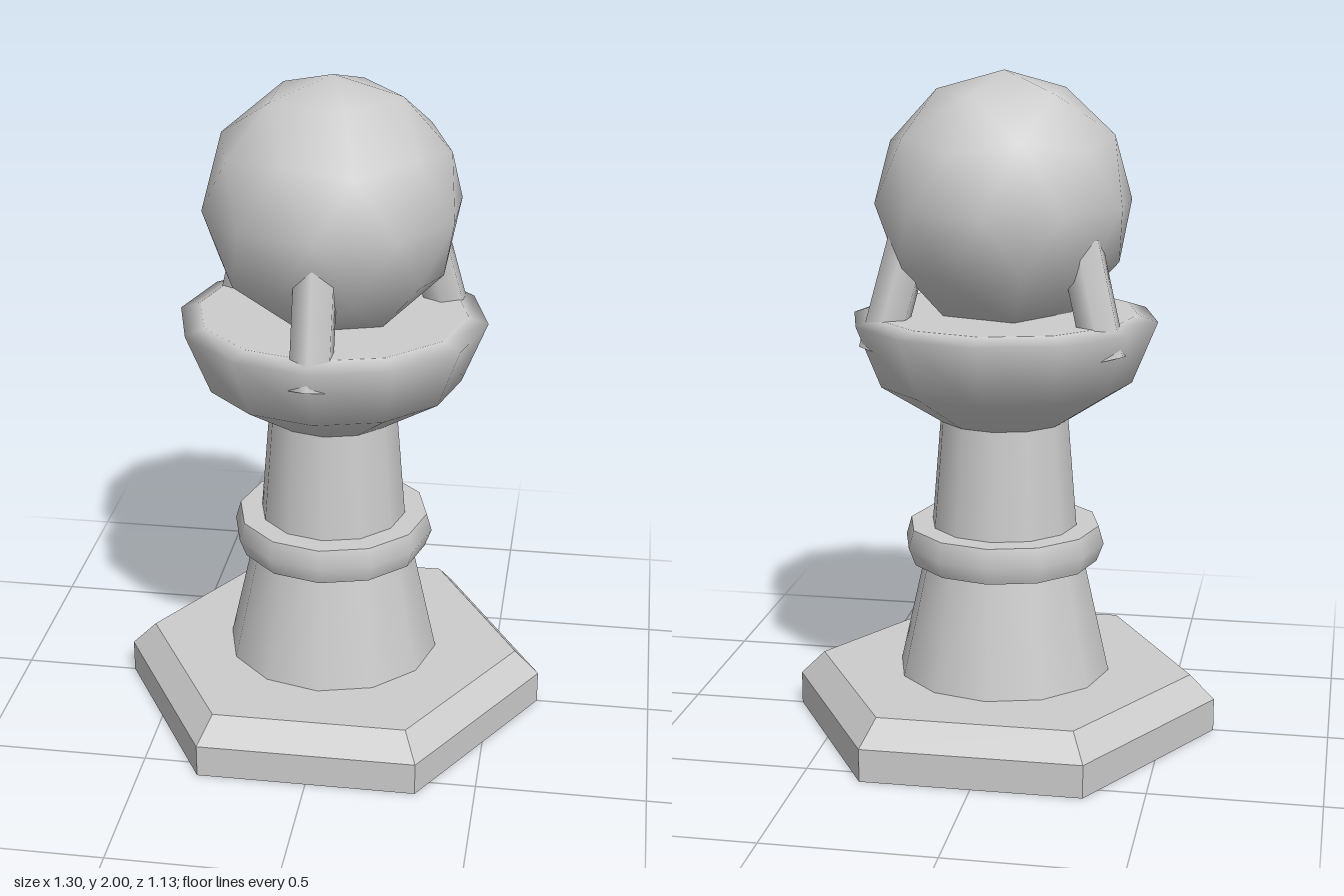
import * as THREE from 'three';

export function createModel() {
  const model = new THREE.Group();
  const stone = new THREE.MeshStandardMaterial({ color: 0xcccccc });
  stone.name = 'grey stone';

  const add = (name, geometry, y = 0, parent = model) => {
    const mesh = new THREE.Mesh(geometry, stone);
    mesh.name = name;
    mesh.position.y = y;
    parent.add(mesh);
    return mesh;
  };
  // Cylinder section between two heights
  const section = (name, rBottom, rTop, y0, y1, sides = 12, open = true) =>
    add(name, new THREE.CylinderGeometry(rTop, rBottom, y1 - y0, sides, 1, open), (y0 + y1) / 2);
  // Smooth 12-sided turned surface
  const turned = (name, profile) =>
    add(name, new THREE.LatheGeometry(profile.map(p => new THREE.Vector2(...p)), 12));
  // Flat 12-sided disc facing up (1) or down (-1)
  const disc = (name, radius, y, facing) => {
    add(name, new THREE.CircleGeometry(radius, 12).rotateX(-facing * Math.PI / 2), y);
  };
  // Separate normals for every face
  const faceted = geometry => {
    const g = geometry.toNonIndexed();
    g.computeVertexNormals();
    return g;
  };

  // Chamfered hexagonal base, with corners on the x axis
  const hexagon = (rTop, rBottom, h, open) => faceted(
    new THREE.CylinderGeometry(rTop, rBottom, h, 6, 1, open, Math.PI / 6));
  add('basePlinth', hexagon(0.652, 0.652, 0.1, false), 0.05);
  add('baseChamfer', hexagon(0.577, 0.652, 0.075, false), 0.1375);

  // Tapered column and its collar
  section('lowerColumn', 0.325, 0.234, 0.175, 0.58);
  section('upperColumn', 0.227, 0.195, 0.58, 0.965);
  turned('collar', [[0.285, 0.525], [0.306, 0.58], [0.29, 0.635]]);
  disc('collarTop', 0.29, 0.635, 1);
  disc('collarUnderside', 0.285, 0.525, -1);

  // Bowl with a rolled rim and flat top
  turned('bowl', [[0.19, 0.96], [0.385, 1.085], [0.46, 1.27], [0.4, 1.29]]);
  disc('bowlTop', 0.4, 1.29, 1);
  disc('bowlUnderside', 0.19, 0.96, -1);

  // Faceted ball with smooth normals, one vertex pointing straight up
  const ball = new THREE.IcosahedronGeometry(0.383, 1);
  ball.rotateZ(-Math.atan(2 / (1 + Math.sqrt(5))));
  add('ball', ball, 1.617);

  // Three prongs leaning inward to hold the ball
  for (let i = 0; i < 3; i++) {
    const pivot = new THREE.Group();
    pivot.name = 'prong' + (i + 1);
    pivot.rotation.y = i * Math.PI * 2 / 3 - 0.02;
    const shaft = new THREE.CylinderGeometry(0.066, 0.066, 0.34, 6).translate(0, 0.17, 0);
    const prong = add('prongShaft', shaft, 1.192, pivot);
    prong.position.z = 0.385;
    prong.rotation.x = -0.28;
    model.add(pivot);
  }
  return model;
}
